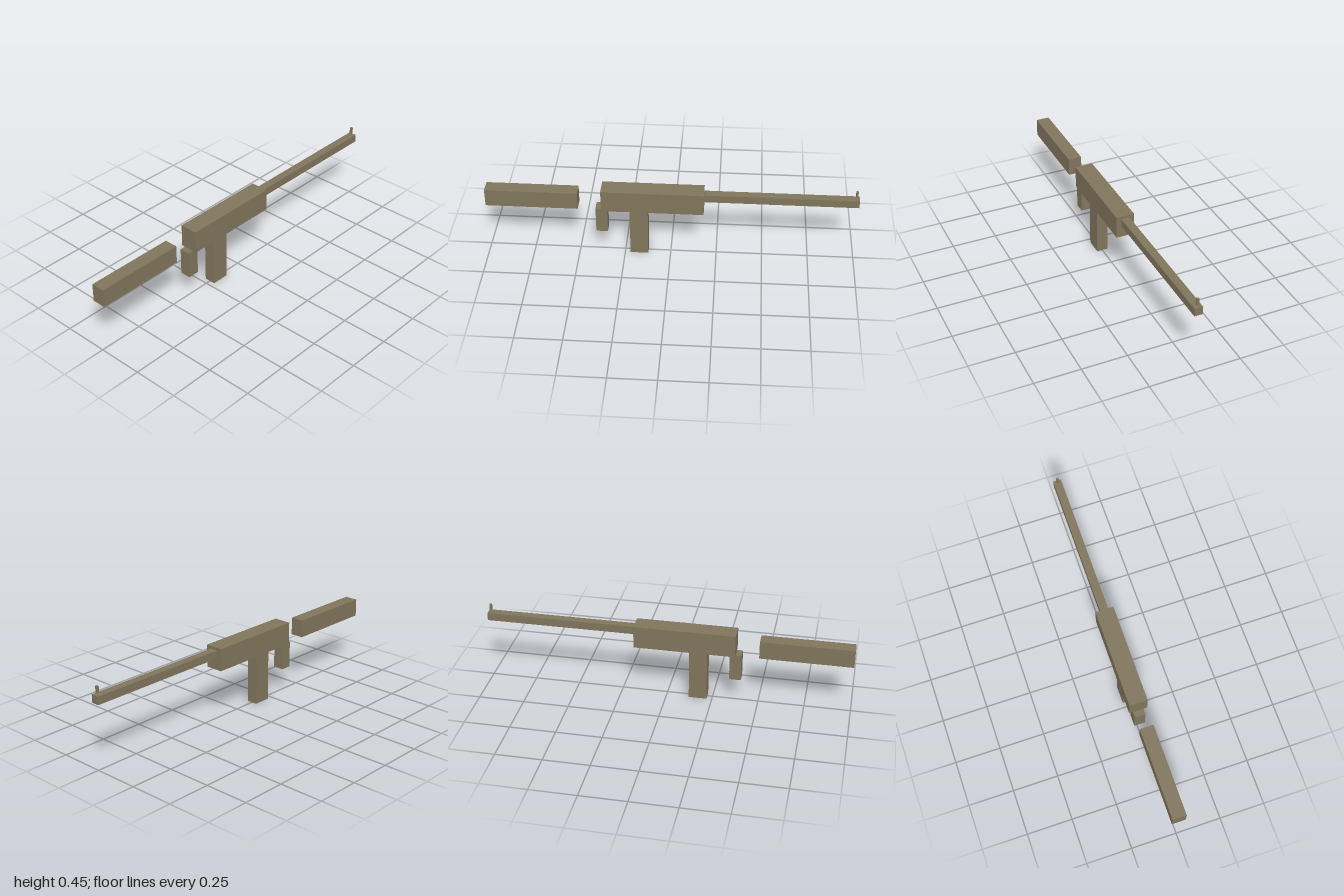
import * as THREE from 'three';

export function createModel() {
  const model = new THREE.Group();
  model.name = 'blockRifle';

  const olive = new THREE.MeshStandardMaterial({ color: 0x80755c });
  olive.name = 'olive drab';

  // Box centred on x, given by its width and its y and z limits
  const block = (name, width, y0, y1, z0, z1) => {
    const mesh = new THREE.Mesh(new THREE.BoxGeometry(width, y1 - y0, z1 - z0), olive);
    mesh.name = name;
    mesh.position.set(0, (y0 + y1) / 2, (z0 + z1) / 2);
    model.add(mesh);
  };

  // Body and barrel, pointing to -z
  block('receiver', 0.1, 0.291, 0.416, -0.178, 0.373);
  block('barrel', 0.045, 0.357, 0.401, -1, -0.178);
  block('frontSight', 0.0125, 0.411, 0.447, -0.99, -0.978);

  // Parts held by the shooter; the stock stands clear of the receiver
  block('stock', 0.075, 0.291, 0.391, 0.5, 1);
  block('grip', 0.06, 0.14, 0.291, 0.342, 0.405);
  block('magazine', 0.0625, 0, 0.291, 0.123, 0.221);

  return model;
}
